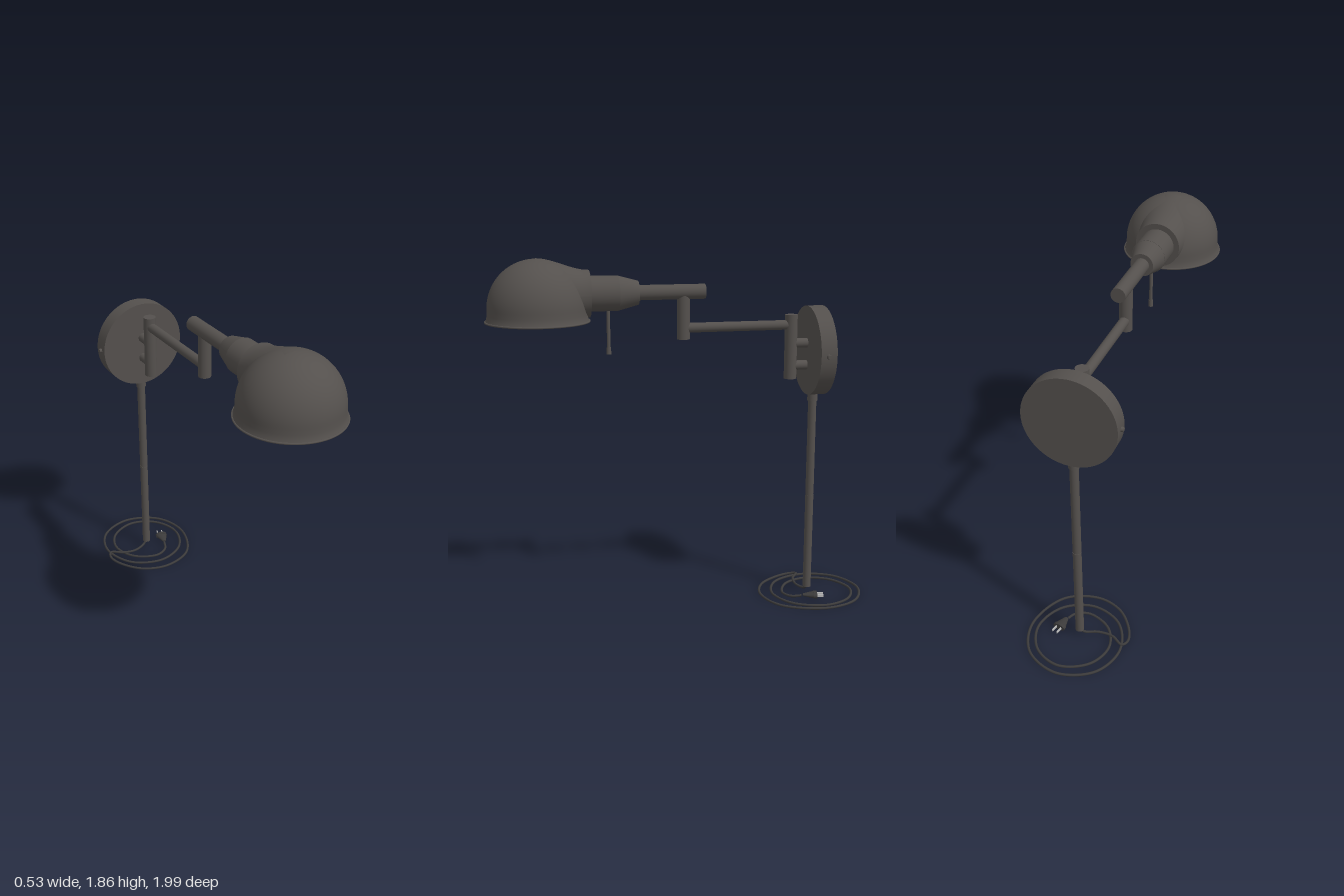
import * as THREE from 'three';

const V = (x, y, z) => new THREE.Vector3(x, y, z);

export function createModel() {
  const lamp = new THREE.Group();
  lamp.name = 'swingArmWallLamp';

  const mat = (name, color, side = THREE.FrontSide) => {
    const m = new THREE.MeshStandardMaterial({ color, side });
    m.name = name;
    return m;
  };
  const bronze = mat('darkBronze', 0x54504d);
  const cordMat = mat('cordCharcoal', 0x3c3b3b);
  const white = mat('whiteLining', 0xe6e3ea);
  const glass = mat('bulbGlass', 0x95929a);
  const steel = mat('prongSteel', 0xbdbdbd);

  const add = (name, geo, m, parent = lamp) => {
    const mesh = new THREE.Mesh(geo, m);
    mesh.name = name;
    parent.add(mesh);
    return mesh;
  };
  // Cylinder or cone running from point a to point b
  const rod = (name, a, b, r, r2 = r, m = bronze, seg = 32) => {
    const mesh = add(name, new THREE.CylinderGeometry(r2, r, a.distanceTo(b), seg), m);
    mesh.position.copy(a).lerp(b, 0.5);
    mesh.quaternion.setFromUnitVectors(V(0, 1, 0), b.clone().sub(a).normalize());
    return mesh;
  };
  const lathe = (name, pts, m) =>
    add(name, new THREE.LatheGeometry(pts.map(p => new THREE.Vector2(...p)), 64), m);

  // Wall plate with side screws
  rod('wallPlate', V(0, 1.36, -0.745), V(0, 1.36, -0.66), 0.233, 0.233, bronze, 64);
  for (const s of [-1, 1])
    rod('sideScrew', V(s * 0.225, 1.36, -0.70), V(s * 0.245, 1.36, -0.70), 0.014, 0.01, bronze, 16);

  // Cord cover down the wall, in two lengths
  rod('cordCoverCollar', V(0, 1.09, -0.70), V(0, 1.135, -0.70), 0.027);
  rod('cordCoverUpper', V(0, 0.573, -0.70), V(0, 1.1, -0.70), 0.022);
  rod('cordCoverLower', V(0, 0.035, -0.70), V(0, 0.567, -0.70), 0.022);
  rod('cordCoverJoint', V(0, 0.56, -0.70), V(0, 0.58, -0.70), 0.020);

  // Bracket and swing arms
  for (const y of [1.40, 1.283])
    rod('bracketPeg', V(0, y, -0.67), V(0, y, -0.57), 0.025);
  rod('rearPivot', V(0, 1.214, -0.572), V(0, 1.55, -0.572), 0.033);
  rod('lowerArm', V(0, 1.497, -0.572), V(0, 1.497, 0), 0.025);
  rod('frontPivot', V(0, 1.44, 0.002), V(0, 1.665, 0.002), 0.033);
  rod('upperArm', V(0, 1.68, -0.11), V(0, 1.68, 0.24), 0.038);

  // Socket housing and switch stem
  rod('socketTaper', V(0, 1.68, 0.233), V(0, 1.68, 0.335), 0.06, 0.087);
  rod('socketBody', V(0, 1.68, 0.335), V(0, 1.68, 0.49), 0.088);
  rod('switchStem', V(0, 1.40, 0.385), V(0, 1.61, 0.385), 0.009, 0.009, bronze, 16);
  rod('switchKnob', V(0, 1.375, 0.385), V(0, 1.41, 0.385), 0.013, 0.011, bronze, 16);

  // Domed shade: outer skin, white lining and rolled rim
  const cy = 1.61, cz = 0.735, R = 0.245;
  const dome = (r, rim) => {
    const pts = [[rim, 1.55], [r + 0.004, 1.565], [r + 0.001, 1.585]];
    for (let i = 0; i <= 24; i++) {
      const a = i / 24 * Math.PI / 2;
      pts.push([Math.max(r * Math.cos(a), 0), cy + r * Math.sin(a)]);
    }
    return pts;
  };
  lathe('shadeOuter', dome(R, 0.256), bronze).position.z = cz;
  lathe('shadeLining', dome(R - 0.008, 0.252).reverse(), white).position.z = cz;
  const rim = add('shadeRim', new THREE.TorusGeometry(0.255, 0.005, 8, 64), bronze);
  rim.rotation.x = Math.PI / 2;
  rim.position.set(0, 1.551, cz);

  // Flared neck: each generator line runs until it dips into the dome
  const z0 = 0.478, neckY = 1.68;
  const neckPoint = (a, z) => {
    const t = (z - z0) / 0.26;
    const r = 0.117 + 0.06 * t * t * (3 - 2 * t);
    const up = Math.sin(a);
    return V(r * Math.cos(a), neckY + (up > 0 ? r : 0.117) * up, z);
  };
  const inside = p => Math.hypot(p.x, Math.max(p.y - cy, 0), p.z - cz) < R - 0.003;
  const N = 64, M = 14, pos = [], idx = [];
  for (let i = 0; i <= N; i++) {
    const a = i / N * Math.PI * 2;
    let end = z0;
    while (end < z0 + 0.26 && !inside(neckPoint(a, end))) end += 0.002;
    for (let j = 0; j <= M; j++) pos.push(...neckPoint(a, z0 + (end - z0) * j / M).toArray());
  }
  for (let i = 0; i < N; i++)
    for (let j = 0; j < M; j++) {
      const p = i * (M + 1) + j, q = p + M + 1;
      idx.push(p, q, p + 1, q, q + 1, p + 1);
    }
  const neck = new THREE.BufferGeometry();
  neck.setAttribute('position', new THREE.Float32BufferAttribute(pos, 3));
  neck.setIndex(idx);
  neck.computeVertexNormals();
  add('shadeNeck', neck, bronze);
  const back = add('neckBack', new THREE.CircleGeometry(0.117, 64), bronze);
  back.rotation.y = Math.PI;
  back.position.set(0, neckY, z0);

  // Bulb lying along the socket axis
  rod('bulbHolder', V(0, 1.68, 0.48), V(0, 1.68, 0.55), 0.05);
  const bulbLine = new THREE.SplineCurve([[0.035, 0], [0.05, 0.05], [0.082, 0.12], [0.088, 0.17],
    [0.062, 0.23], [0, 0.255]].map(p => new THREE.Vector2(...p)));
  const bulb = lathe('bulb', bulbLine.getPoints(24).map(p => [Math.max(p.x, 0), p.y]), glass);
  bulb.rotation.x = Math.PI / 2;
  bulb.position.set(0, 1.68, 0.53);

  // Cord: short lead from the cover, then a coil spiralling in to the plug
  const path = [
    [0, 0.045, -0.70], [-0.02, 0.018, -0.695], [-0.09, 0.012, -0.668], [-0.17, 0.017, -0.675],
    [-0.235, 0.018, -0.715], [-0.255, 0.012, -0.68], [-0.235, 0.008, -0.60], [-0.14, 0.008, -0.48],
    [0, 0.008, -0.435], [0.17, 0.008, -0.50], [0.257, 0.008, -0.72], [0.19, 0.008, -0.91],
    [0.01, 0.008, -0.993], [-0.17, 0.008, -0.92], [-0.237, 0.008, -0.75], [-0.165, 0.008, -0.57],
    [0, 0.008, -0.502], [0.155, 0.008, -0.57], [0.22, 0.008, -0.73], [0.16, 0.008, -0.88],
    [0.02, 0.008, -0.945], [-0.125, 0.008, -0.88], [-0.178, 0.008, -0.75], [-0.125, 0.008, -0.62],
    [0, 0.008, -0.56], [0.07, 0.012, -0.59], [0.092, 0.02, -0.64],
  ].map(p => V(...p));
  add('cord', new THREE.TubeGeometry(new THREE.CatmullRomCurve3(path, false, 'centripetal'), 320, 0.007, 8), cordMat);

  // Plug with two prongs
  const plug = new THREE.Group();
  plug.name = 'plug';
  plug.position.set(0.102, 0.026, -0.675);
  plug.rotation.y = -0.2;
  lamp.add(plug);
  const body = add('plugBody', new THREE.CylinderGeometry(0.032, 0.011, 0.06, 20), cordMat, plug);
  body.rotation.x = -Math.PI / 2;
  body.scale.z = 0.55;
  const face = add('plugFace', new THREE.CylinderGeometry(0.034, 0.034, 0.018, 20), cordMat, plug);
  face.rotation.x = -Math.PI / 2;
  face.scale.z = 0.55;
  face.position.z = -0.037;
  for (const s of [-1, 1])
    add('plugProng', new THREE.BoxGeometry(0.005, 0.013, 0.04), steel, plug).position.set(s * 0.014, 0, -0.062);

  return lamp;
}
